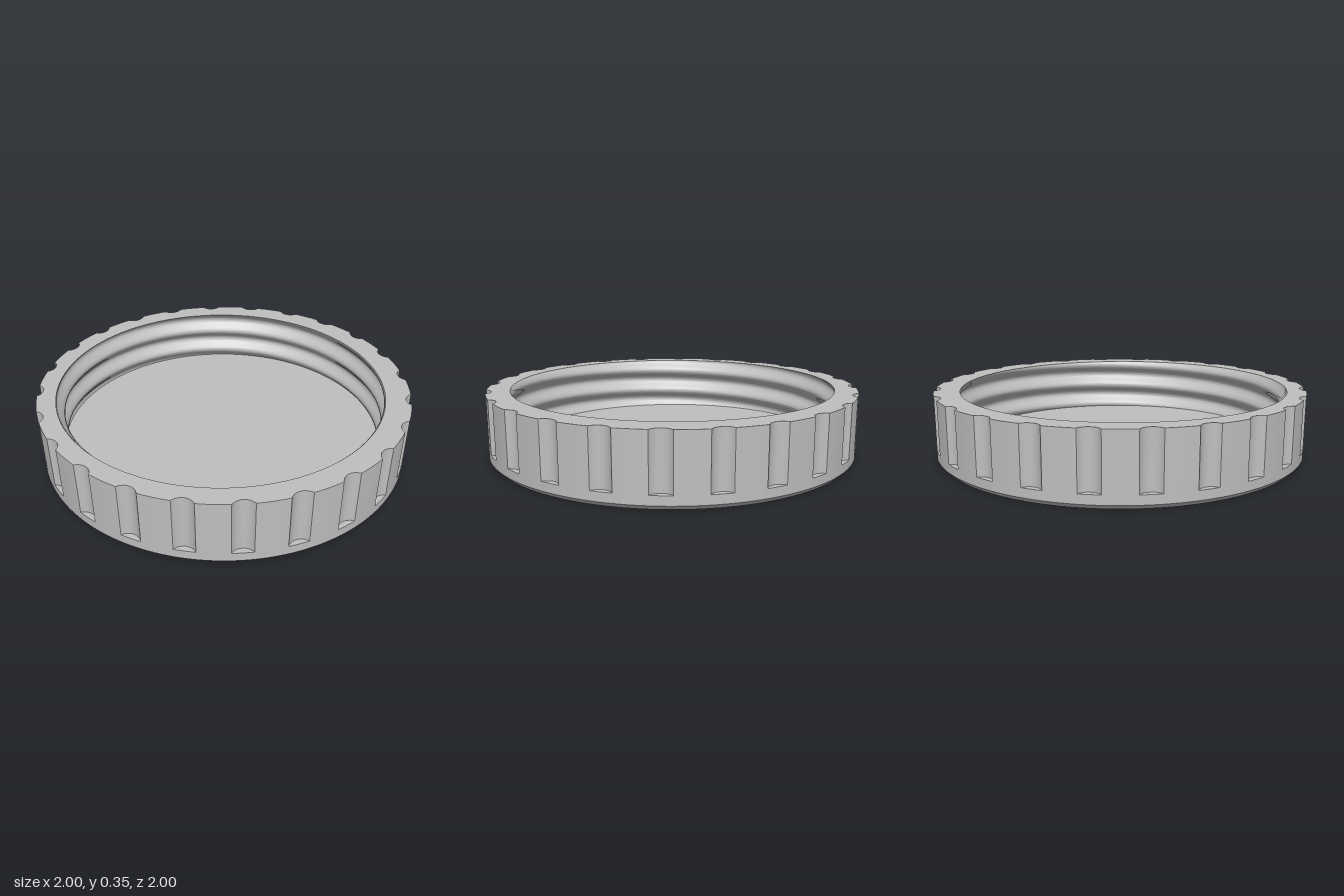
import * as THREE from 'three';
import { toCreasedNormals } from 'three/addons/utils/BufferGeometryUtils.js';

const TOP = 0.355, FLOOR = 0.05, GRIP_Y = 0.07;
const GRIPS = 24, STEP = (Math.PI * 2) / GRIPS;
const SCOOP_R = 0.062, SCOOP_C = 1.032; // radius and centre distance of each grip scoop
const HALF = Math.acos((1 + SCOOP_C ** 2 - SCOOP_R ** 2) / (2 * SCOOP_C)); // half angle of a scoop
const PITCH = 0.135, PHASE = 2.67;

// Sample angles: dense across each scoop, coarser across the lands
const angles = [];
for (let i = 0; i < GRIPS; i++) {
  for (let j = 0; j < 12; j++) angles.push(i * STEP - HALF * Math.cos((j / 12) * Math.PI));
  for (let j = 0; j < 5; j++) angles.push(i * STEP + HALF + (j / 5) * (STEP - 2 * HALF));
}

// Outer radius of the grip band at an angle
function outerRadius(a) {
  const d = a - Math.round(a / STEP) * STEP;
  if (Math.abs(d) >= HALF - 1e-6) return 1;
  return SCOOP_C * Math.cos(d) - Math.sqrt(SCOOP_R ** 2 - (SCOOP_C * Math.sin(d)) ** 2);
}

// Inner radius of the helical thread
function threadRadius(a, y) {
  return 0.88 + 0.02 * Math.cos(((y - TOP) / PITCH) * Math.PI * 2 + a - PHASE);
}

// Surface swept round the axis; profile(a) gives a list of [radius, y]
function sweep(name, material, profile) {
  const pos = [];
  const rings = angles.map((a) =>
    profile(a).map(([r, y]) => new THREE.Vector3(r * Math.cos(a), y, r * Math.sin(a))));
  const tri = (a, b, c) => {
    const n = b.clone().sub(a).cross(c.clone().sub(a));
    if (n.length() < 1e-9) return;
    for (const p of [a, b, c]) pos.push(p.x, p.y, p.z);
  };
  rings.forEach((ring, i) => {
    const next = rings[(i + 1) % rings.length];
    for (let j = 0; j < ring.length - 1; j++) {
      tri(ring[j], ring[j + 1], next[j]);
      tri(next[j], ring[j + 1], next[j + 1]);
    }
  });
  const geometry = new THREE.BufferGeometry();
  geometry.setAttribute('position', new THREE.Float32BufferAttribute(pos, 3));
  const mesh = new THREE.Mesh(toCreasedNormals(geometry, 0.45), material);
  mesh.name = name;
  return mesh;
}

export function createModel() {
  const group = new THREE.Group();
  group.name = 'screwLid';
  const grey = new THREE.MeshStandardMaterial({ color: 0xbfbfbf });
  grey.name = 'grey';

  // Flat underside with chamfer and plain lower band
  group.add(sweep('base', grey, () => [[0, 0], [0.978, 0], [1, 0.024], [1, GRIP_Y]]));

  // Ledges at the foot of the scoops
  group.add(sweep('gripLedges', grey, (a) => [[1, GRIP_Y], [outerRadius(a), GRIP_Y]]));

  // Scooped outer wall
  group.add(sweep('gripWall', grey, (a) => [[outerRadius(a), GRIP_Y], [outerRadius(a), TOP]]));

  // Flat rim between the scooped edge and the thread
  group.add(sweep('rim', grey, (a) => [[outerRadius(a), TOP], [threadRadius(a, TOP), TOP]]));

  // Inner wall with the rounded helical thread
  const ROWS = 56;
  group.add(sweep('thread', grey, (a) => Array.from({ length: ROWS + 1 }, (_, j) => {
    const y = TOP + (FLOOR - TOP) * (j / ROWS);
    return [threadRadius(a, y), y];
  })));

  // Inside floor
  group.add(sweep('floor', grey, (a) => [[threadRadius(a, FLOOR), FLOOR], [0, FLOOR]]));

  return group;
}
